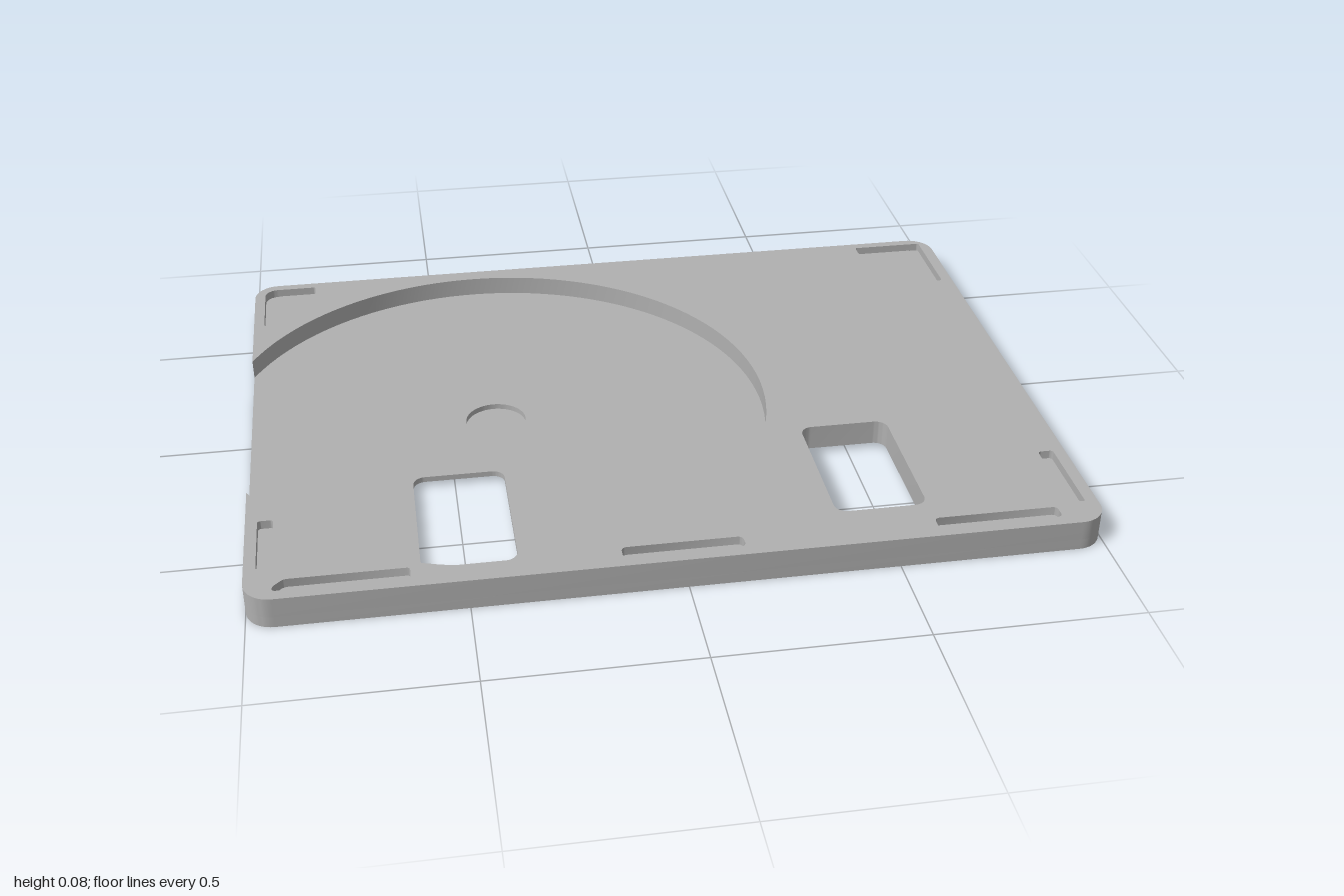
import * as THREE from 'three';
import { toCreasedNormals, mergeVertices } from 'three/addons/utils/BufferGeometryUtils.js';

const TOP = 0.077, FLOOR = 0.027, LEDGE = 0.013, SLOT = 0.055;
const HX = 1, HZ = 0.745, CORNER = 0.065;      // plate half sizes and corner radius
const CX = -0.375, R = 0.7, HUB = 0.077;       // round pocket and its hub recess
const ANGLE = Math.acos((-HX - CX) / R);       // where the pocket runs out of the side

// Adds a polygon of [x, z, radius] points with rounded corners to a path
function roundPoly(path, pts, defaultR, closed = true) {
  const n = pts.length;
  const v = pts.map(([x, z]) => new THREE.Vector2(x, -z));
  for (let i = 0; i < n; i++) {
    const p = v[i], a = v[(i + n - 1) % n], b = v[(i + 1) % n];
    const r = pts[i][2] ?? defaultR;
    const s = p.clone().add(a.clone().sub(p).setLength(r || 1e-4));
    const e = p.clone().add(b.clone().sub(p).setLength(r || 1e-4));
    if (!closed && (i === 0 || i === n - 1)) {
      i === 0 ? path.moveTo(p.x, p.y) : path.lineTo(p.x, p.y);
      continue;
    }
    i === 0 ? path.moveTo(s.x, s.y) : path.lineTo(s.x, s.y);
    // cubic close to a quarter circle
    const c1 = s.clone().lerp(p, 0.5523), c2 = e.clone().lerp(p, 0.5523);
    path.bezierCurveTo(c1.x, c1.y, c2.x, c2.y, e.x, e.y);
  }
  if (closed) path.closePath();
  return path;
}
const poly = (pts, r) => roundPoly(new THREE.Shape(), pts, r);
const rect = (x0, x1, z0, z1, r) => poly([[x0, z1], [x1, z1], [x1, z0], [x0, z0]], r);

// Flat face at height y with optional holes, facing up or down
function cap(shape, y, holes = [], down = false) {
  const s = shape.clone();
  s.holes = holes;
  const g = new THREE.ShapeGeometry(s, 12).rotateX(-Math.PI / 2).translate(0, y, 0);
  if (down) {
    const ix = g.index.array;
    for (let i = 0; i < ix.length; i += 3) [ix[i], ix[i + 1]] = [ix[i + 1], ix[i]];
    g.computeVertexNormals();
  }
  return g;
}

// Upright wall along a closed outline; inward walls line a cutout
function wall(shape, y0, y1, inward = false) {
  const pts = shape.getPoints(12);
  if (pts[0].distanceTo(pts[pts.length - 1]) < 1e-5) pts.pop();
  if (THREE.ShapeUtils.isClockWise(pts) !== inward) pts.reverse();
  const pos = [];
  pts.forEach((p, i) => {
    const q = pts[(i + 1) % pts.length];
    if (p.distanceTo(q) < 1e-6) return;
    pos.push(p.x, y0, -p.y, q.x, y0, -q.y, q.x, y1, -q.y);
    pos.push(p.x, y0, -p.y, q.x, y1, -q.y, p.x, y1, -p.y);
  });
  const g = new THREE.BufferGeometry();
  g.setAttribute('position', new THREE.Float32BufferAttribute(pos, 3));
  return toCreasedNormals(mergeVertices(g), 0.6);
}

function circle(r) {
  const s = new THREE.Shape();
  for (let i = 0; i < 64; i++) {
    const a = (i / 64) * Math.PI * 2, x = CX + r * Math.cos(a), y = r * Math.sin(a);
    i ? s.lineTo(x, y) : s.moveTo(x, y);
  }
  return s;
}

// Points of the pocket arc, from the front end round to the back end
function pocketArc() {
  const out = [];
  for (let i = 0; i <= 96; i++) {
    const a = -ANGLE + (2 * ANGLE * i) / 96;
    out.push(new THREE.Vector2(CX + R * Math.cos(a), R * Math.sin(a)));
  }
  return out;
}

export function createModel() {
  const group = new THREE.Group();
  const grey = new THREE.MeshStandardMaterial({ color: 0xb0b0b0 });
  grey.name = 'plain grey';
  const add = (name, geometry) => {
    const mesh = new THREE.Mesh(geometry, grey);
    mesh.name = name;
    group.add(mesh);
  };

  // Outlines: full plate, raised deck around the pocket, pocket floor
  const plate = rect(-HX, HX, -HZ, HZ, CORNER);
  const arc = pocketArc(), h = R * Math.sin(ANGLE);
  const deck = roundPoly(new THREE.Shape(),
    [[-HX, h], [-HX, HZ], [HX, HZ], [HX, -HZ], [-HX, -HZ], [-HX, -h]], CORNER, false);
  [...arc].reverse().slice(1).forEach((p) => deck.lineTo(p.x, p.y));
  const pocket = new THREE.Shape(arc);
  const hub = circle(HUB);

  // Two windows, each with a wider step on the underside
  const windowAt = (x0, x1, m) => rect(x0 - m, x1 + m, 0.24 - m, 0.615 + m, 0.03);
  const spans = [[-0.603, -0.378], [0.375, 0.597]];
  const windows = spans.map(([a, b]) => windowAt(a, b, 0));
  const steps = spans.map(([a, b]) => windowAt(a, b, 0.02));

  // Shallow slots along the rim
  const slots = [
    poly([[-0.972, -0.51], [-0.935, -0.51], [-0.935, -0.68], [-0.83, -0.68],
      [-0.83, -0.72], [-0.972, -0.72, 0.035]], 0.006),
    poly([[0.932, -0.48], [0.97, -0.48], [0.97, -0.72], [0.775, -0.72],
      [0.775, -0.68], [0.932, -0.68]], 0.006),
    rect(-0.972, -0.935, 0.44, 0.63, 0.008),
    poly([[0.932, 0.65], [0.97, 0.665], [0.97, 0.44], [0.932, 0.44]], 0.008),
    poly([[-0.935, 0.715], [-0.628, 0.715], [-0.628, 0.675], [-0.91, 0.675],
      [-0.935, 0.7]], 0.008),
    rect(-0.148, 0.137, 0.675, 0.715, 0.014),
    rect(0.595, 0.895, 0.675, 0.715, 0.012),
  ];

  // Plate body
  add('underside', cap(plate, 0, steps, true));
  add('lowerSide', wall(plate, 0, FLOOR));
  add('upperSideAndPocketWall', wall(deck, FLOOR, TOP));
  add('deck', cap(deck, TOP, [windows[1], ...slots]));

  // Round pocket with hub recess
  add('pocketFloor', cap(pocket, FLOOR, [hub, windows[0]]));
  add('hubWall', wall(hub, LEDGE, FLOOR, true));
  add('hubFloor', cap(hub, LEDGE));

  windows.forEach((w, i) => {
    add('windowWall', wall(w, LEDGE, i ? TOP : FLOOR, true));
    add('windowStepWall', wall(steps[i], 0, LEDGE, true));
    add('windowStep', cap(steps[i], LEDGE, [w], true));
  });

  slots.forEach((s) => {
    add('slotWall', wall(s, SLOT, TOP, true));
    add('slotFloor', cap(s, SLOT));
  });
  return group;
}
